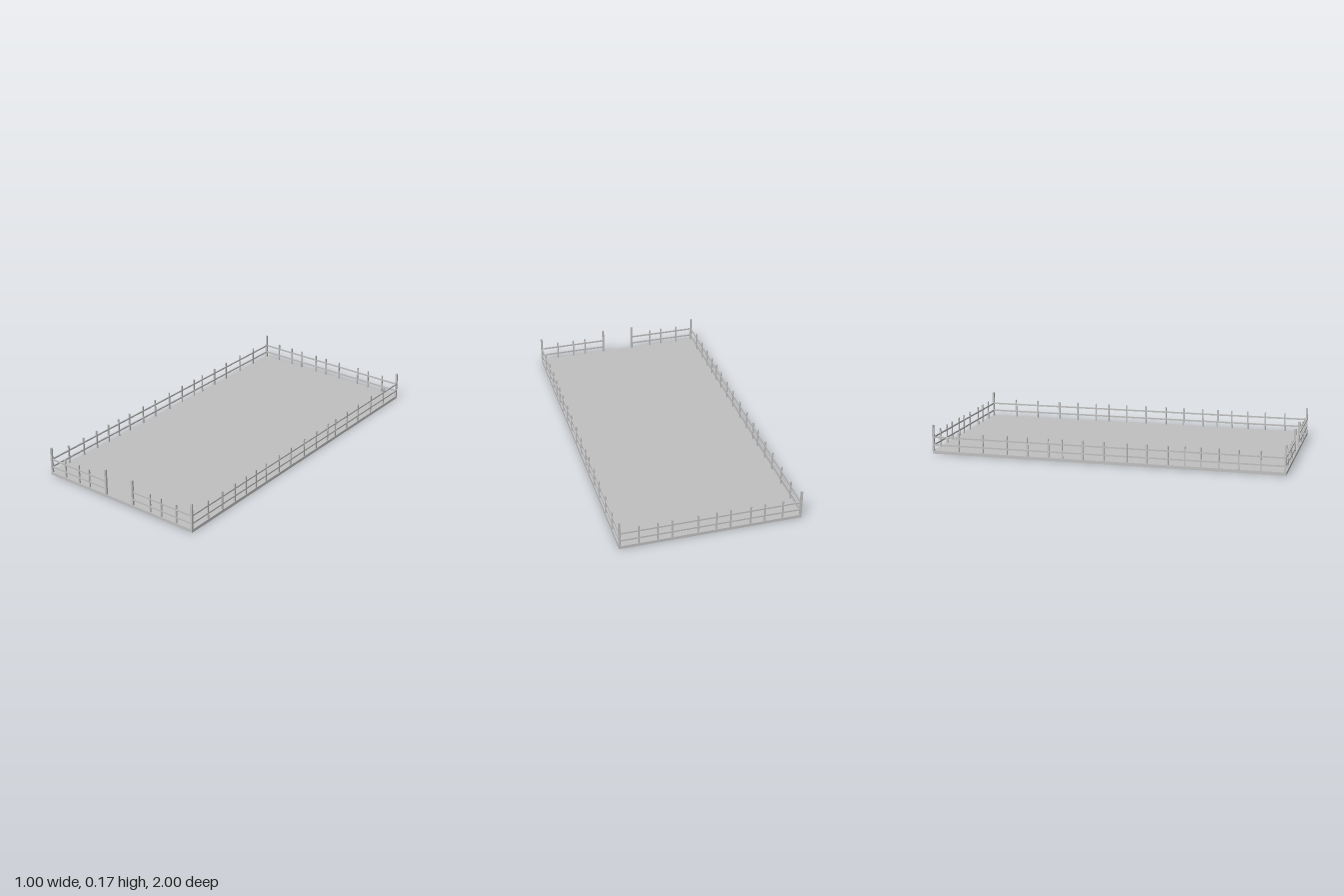
import * as THREE from 'three';

export function createModel() {
  const model = new THREE.Group();
  model.name = 'fencedYard';
  const grey = new THREE.MeshStandardMaterial({ color: 0xc0c0c0 });
  grey.name = 'light grey';

  const FLOOR = 0.017, X = 0.4945, Z = 0.9945, GATE = 0.094;
  const TALL = 0.165, SHORT = 0.125, RAILS = [0.05, 0.095];

  const box = (parent, name, w, h, d, x, y, z) => {
    const mesh = new THREE.Mesh(new THREE.BoxGeometry(w, h, d), grey);
    mesh.name = name;
    mesh.position.set(x, y, z);
    parent.add(mesh);
  };
  const group = (name) => {
    const g = new THREE.Group();
    g.name = name;
    model.add(g);
    return g;
  };
  // Upright standing on the floor slab
  const post = (parent, name, size, top, x, z) =>
    box(parent, name, size, top - FLOOR, size, x, (top + FLOOR) / 2, z);

  box(model, 'floor', 1, FLOOR, 2, 0, FLOOR / 2, 0);

  // Tall posts at the corners and the gate opening
  const tall = group('tallPosts');
  for (const sx of [-1, 1]) {
    for (const sz of [-1, 1]) post(tall, 'cornerPost', 0.011, TALL, sx * X, sz * Z);
    post(tall, 'gatePost', 0.011, TALL, sx * GATE, Z);
  }

  // Long side fences
  const sideZ = [0.863, 0.745, 0.638, 0.54, 0.452, 0.36, 0.24, 0.13, 0,
    -0.12, -0.236, -0.316, -0.438, -0.557, -0.7, -0.843];
  for (const s of [-1, 1]) {
    const side = group(s > 0 ? 'leftFence' : 'rightFence');
    for (const y of RAILS) box(side, 'rail', 0.006, 0.009, 2 * Z, s * X, y, 0);
    for (const z of sideZ) post(side, 'post', 0.008, SHORT, s * X, z);
  }

  // Back fence
  const back = group('backFence');
  for (const y of RAILS) box(back, 'rail', 2 * X, 0.009, 0.006, 0, y, -Z);
  for (const x of [-0.393, -0.293, -0.215, -0.104, -0.027, 0.073, 0.213, 0.29, 0.392])
    post(back, 'post', 0.008, SHORT, x, -Z);

  // Front fence, open in the middle
  for (const s of [-1, 1]) {
    const front = group(s > 0 ? 'frontFenceLeft' : 'frontFenceRight');
    for (const y of RAILS)
      box(front, 'rail', X - GATE, 0.009, 0.006, s * (X + GATE) / 2, y, Z);
    for (const x of [0.215, 0.291, 0.392]) post(front, 'post', 0.008, SHORT, s * x, Z);
  }
  return model;
}
